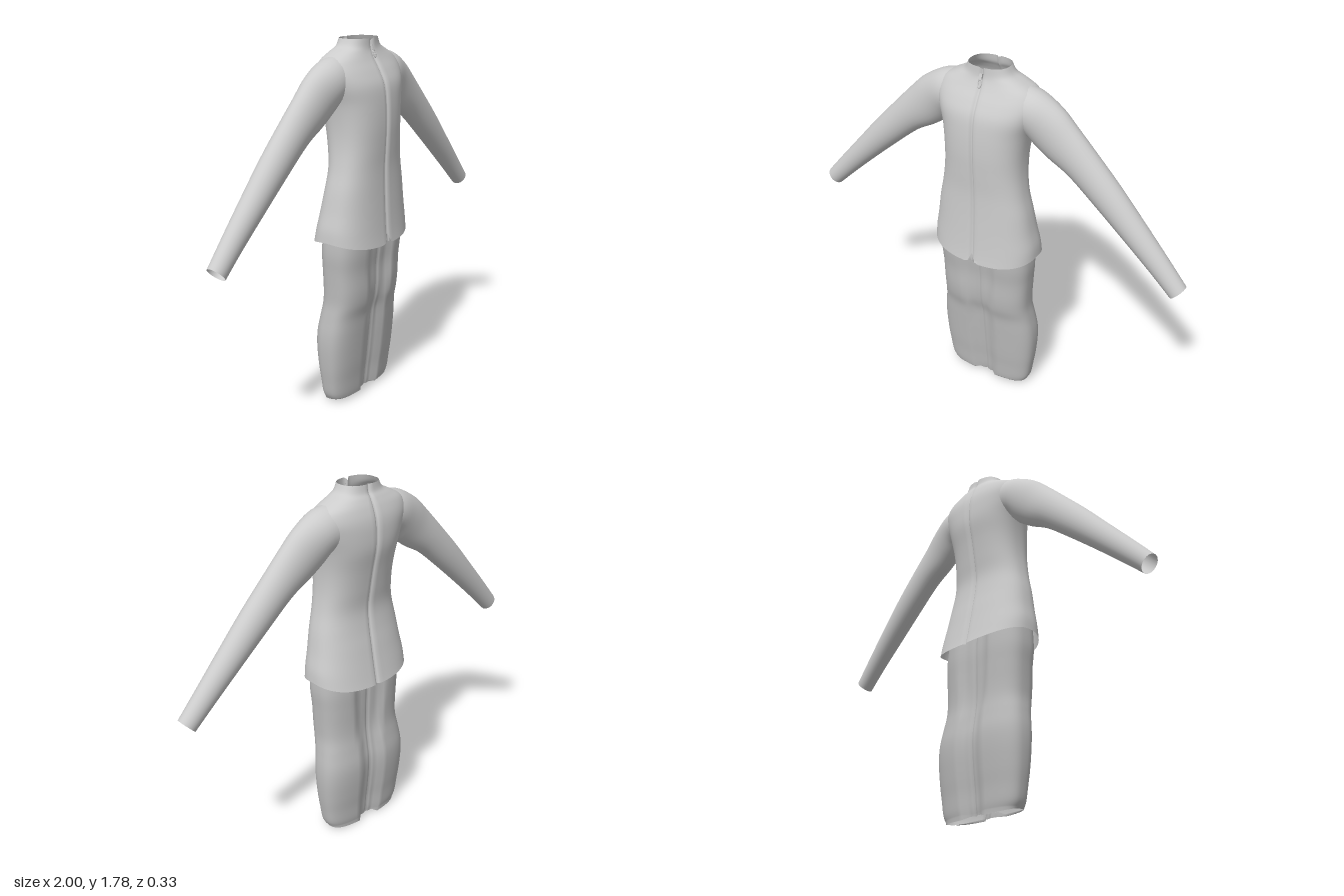
import * as THREE from 'three';

const jacketGrey = new THREE.MeshStandardMaterial({ color: 0xcccccc, side: THREE.DoubleSide });
jacketGrey.name = 'jacketGrey';
const trouserGrey = new THREE.MeshStandardMaterial({ color: 0xbcbcbc, side: THREE.DoubleSide });
trouserGrey.name = 'trouserGrey';

// Joins rings of points into an open, smooth tube
function loft(rings) {
  const n = rings[0].length, index = [];
  for (let r = 0; r < rings.length - 1; r++) {
    for (let i = 0; i < n; i++) {
      const a = r * n + i, b = r * n + (i + 1) % n;
      index.push(a, a + n, b, b, a + n, b + n);
    }
  }
  const g = new THREE.BufferGeometry();
  g.setAttribute('position', new THREE.Float32BufferAttribute(rings.flat(2), 3));
  g.setIndex(index);
  g.computeVertexNormals();
  return g;
}

// Smooth lookup in rows of numbers; t runs from 0 to 1
function sampleRows(rows, t) {
  const f = t * (rows.length - 1), k = Math.min(Math.floor(f), rows.length - 2), u = f - k;
  const at = (i) => rows[Math.max(0, Math.min(rows.length - 1, i))];
  return rows[k].map((p1, c) => {
    const p0 = at(k - 1)[c], p2 = at(k + 1)[c], p3 = at(k + 2)[c];
    return p1 + 0.5 * u * (p2 - p0 + u * (2 * p0 - 5 * p1 + 4 * p2 - p3 + u * (3 * (p1 - p2) + p3 - p0)));
  });
}

function signedPow(v, p) {
  return Math.sign(v) * Math.abs(v) ** p;
}

// Angles around a section, packed closely at the centre front and back
function sectionAngles() {
  const half = [-90, -89.4, -88, -85];
  for (let d = -80; d <= 80; d += 5) half.push(d);
  half.push(85, 88, 89.4);
  return [...half, ...half.map((d) => d + 180)].map((d) => THREE.MathUtils.degToRad(d));
}
const angles = sectionAngles();

// Body rings from rows of [y, half width, front z, back z]; adjust reshapes each point
function bodyRings(rows, count, power, adjust) {
  const rings = [];
  for (let r = 0; r <= count; r++) {
    const [y, w, zf, zb] = sampleRows(rows, r / count);
    const mid = (zf + zb) / 2, depth = (zf - zb) / 2;
    rings.push(angles.map((t) => {
      const c = Math.cos(t), s = Math.sin(t);
      const x = w * signedPow(c, power);
      const z = depth * signedPow(s, power);
      return adjust({ x, y, z, mid, s, first: r === 0 });
    }));
  }
  return rings;
}

const jacketRows = [
  [0.86, 0.272, 0.165, -0.165], [0.92, 0.268, 0.158, -0.15], [1.0, 0.252, 0.152, -0.13],
  [1.1, 0.235, 0.148, -0.11], [1.2, 0.213, 0.147, -0.1], [1.3, 0.2, 0.152, -0.113],
  [1.4, 0.2, 0.156, -0.13], [1.5, 0.213, 0.153, -0.15], [1.58, 0.238, 0.142, -0.152],
  [1.64, 0.25, 0.115, -0.145], [1.69, 0.23, 0.085, -0.128], [1.725, 0.17, 0.068, -0.11],
  [1.75, 0.12, 0.062, -0.096], [1.785, 0.098, 0.06, -0.09],
];

// Jacket body with sunken centre seams, a dipping hem and a small front notch
function jacketPoint({ x, y, z, mid, s, first }) {
  const seam = Math.max(0, 1 - Math.abs(x) / 0.012);
  const dip = 0.04 * THREE.MathUtils.smoothstep(1.05 - y, 0, 0.19) * Math.abs(s) ** 1.5;
  const notch = first && s > 0 ? 0.05 * Math.max(0, 1 - Math.abs(x) / 0.022) : 0;
  const collar = y > 1.74 && s > 0 ? 0.012 * seam : 0;
  return [x, y - dip + notch - collar, mid + z - Math.sign(s) * 0.012 * seam];
}

const trouserRows = [
  [0.015, 0.218, 0.042, -0.106], [0.05, 0.235, 0.048, -0.112], [0.12, 0.246, 0.055, -0.118],
  [0.2, 0.256, 0.065, -0.128], [0.3, 0.262, 0.075, -0.137], [0.38, 0.259, 0.083, -0.137],
  [0.46, 0.247, 0.092, -0.125], [0.53, 0.237, 0.11, -0.115], [0.6, 0.237, 0.118, -0.112],
  [0.7, 0.241, 0.12, -0.114], [0.8, 0.246, 0.13, -0.116], [0.92, 0.235, 0.135, -0.11],
];

// Trousers with a narrow sunken web joining the two legs
function trouserPoint({ x, y, z, mid, s, first }) {
  const inner = THREE.MathUtils.lerp(0.06, 0.1, THREE.MathUtils.smoothstep(y, 0.3, 0.8));
  const web = 1 - THREE.MathUtils.smoothstep(Math.abs(x), inner * 0.65, inner * 1.05);
  const crease = Math.max(0, 1 - Math.abs(x) / 0.012);
  const hem = first ? 0.015 * s + 0.012 * web : 0;
  return [x, Math.max(0, y + hem), mid + z - Math.sign(s) * (0.022 * web + 0.01 * crease)];
}

// Sleeve rows: top x, top y, bottom x, bottom y, front z, back z
const sleeveRows = [
  [0.12, 1.72, 0.13, 1.5, 0.07, -0.115], [0.24, 1.704, 0.19, 1.5, 0.075, -0.112],
  [0.35, 1.645, 0.235, 1.455, 0.06, -0.098], [0.43, 1.572, 0.305, 1.405, 0.052, -0.088],
  [0.53, 1.47, 0.41, 1.345, 0.047, -0.085], [0.65, 1.345, 0.545, 1.235, 0.044, -0.083],
  [0.78, 1.2, 0.69, 1.11, 0.038, -0.076], [0.9, 1.066, 0.83, 0.985, 0.03, -0.066],
  [1.0, 0.952, 0.938, 0.885, 0.027, -0.058],
];

function sleeveGeometry(side) {
  const rings = [], segments = 28, count = 32;
  for (let r = 0; r <= count; r++) {
    const [tx, ty, bx, by, zf, zb] = sampleRows(sleeveRows, r / count);
    const ring = [];
    for (let i = 0; i < segments; i++) {
      const a = (-side * i * Math.PI * 2) / segments, c = Math.cos(a), s = Math.sin(a);
      ring.push([
        side * ((tx + bx) / 2 + ((tx - bx) / 2) * c),
        (ty + by) / 2 + ((ty - by) / 2) * c,
        (zf + zb) / 2 + ((zf - zb) / 2) * s,
      ]);
    }
    rings.push(ring);
  }
  return loft(rings);
}

export function createModel() {
  const model = new THREE.Group();
  model.name = 'jacketAndTrousers';
  const add = (name, geometry, material, parent = model) => {
    const mesh = new THREE.Mesh(geometry, material);
    mesh.name = name;
    parent.add(mesh);
    return mesh;
  };

  add('jacketBody', loft(bodyRings(jacketRows, 65, 0.8, jacketPoint)), jacketGrey);
  add('leftSleeve', sleeveGeometry(1), jacketGrey);
  add('rightSleeve', sleeveGeometry(-1), jacketGrey);
  add('trousers', loft(bodyRings(trouserRows, 55, 0.72, trouserPoint)), trouserGrey);

  // Zip slider and its hanging pull at the collar
  const zip = new THREE.Group();
  zip.name = 'zip';
  zip.position.set(0, 1.745, 0.064);
  zip.rotation.x = -0.3;
  add('zipSlider', new THREE.BoxGeometry(0.014, 0.025, 0.01), jacketGrey, zip);
  const pull = add('zipPull', new THREE.TorusGeometry(0.008, 0.0025, 6, 16), jacketGrey, zip);
  pull.scale.y = 2.2;
  pull.position.set(0, -0.03, 0.003);
  model.add(zip);

  return model;
}
